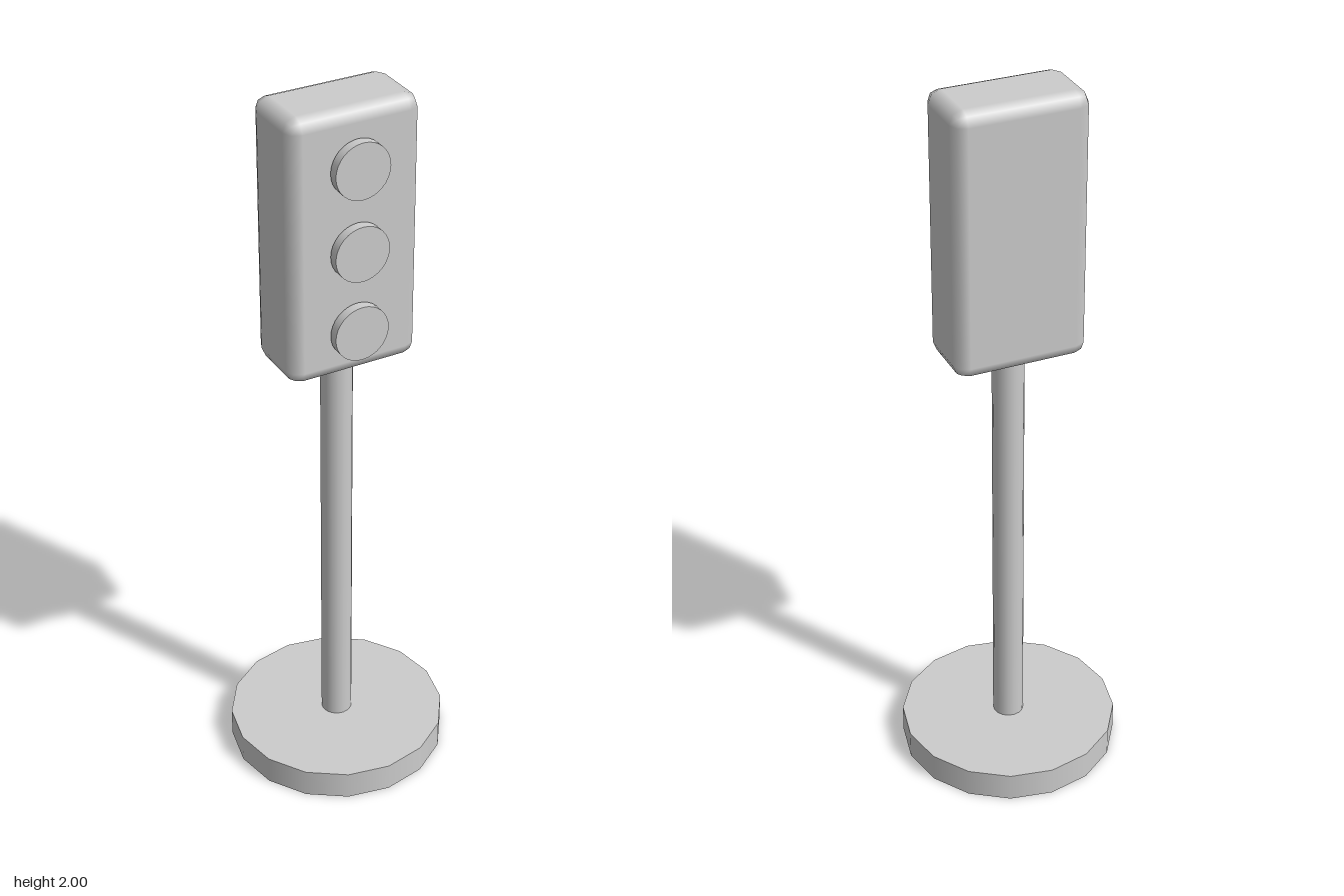
import * as THREE from 'three';
import { RoundedBoxGeometry } from 'three/addons/geometries/RoundedBoxGeometry.js';

export function createModel() {
  const model = new THREE.Group();
  model.name = 'trafficLight';
  const grey = new THREE.MeshStandardMaterial({ color: 0xcccccc });
  grey.name = 'plain grey';

  const add = (name, geometry, x, y, z) => {
    const mesh = new THREE.Mesh(geometry, grey);
    mesh.name = name;
    mesh.position.set(x, y, z);
    model.add(mesh);
    return mesh;
  };

  // Round foot and slim pole
  add('base', new THREE.CylinderGeometry(0.305, 0.305, 0.082, 16), 0, 0.041, 0);
  add('pole', new THREE.CylinderGeometry(0.043, 0.043, 1.22, 16), 0, 0.69, 0);

  // Signal box with softened edges
  add('housing', new RoundedBoxGeometry(0.366, 0.73, 0.205, 1, 0.036), 0, 1.635, 0);

  // Three lamp discs standing just off the front of the box
  const lampGeometry = new THREE.CylinderGeometry(0.076, 0.076, 0.027, 32).rotateX(Math.PI / 2);
  ['bottomLamp', 'middleLamp', 'topLamp'].forEach((name, i) => {
    add(name, lampGeometry, 0, 1.4 + i * 0.225, 0.122);
  });

  return model;
}
